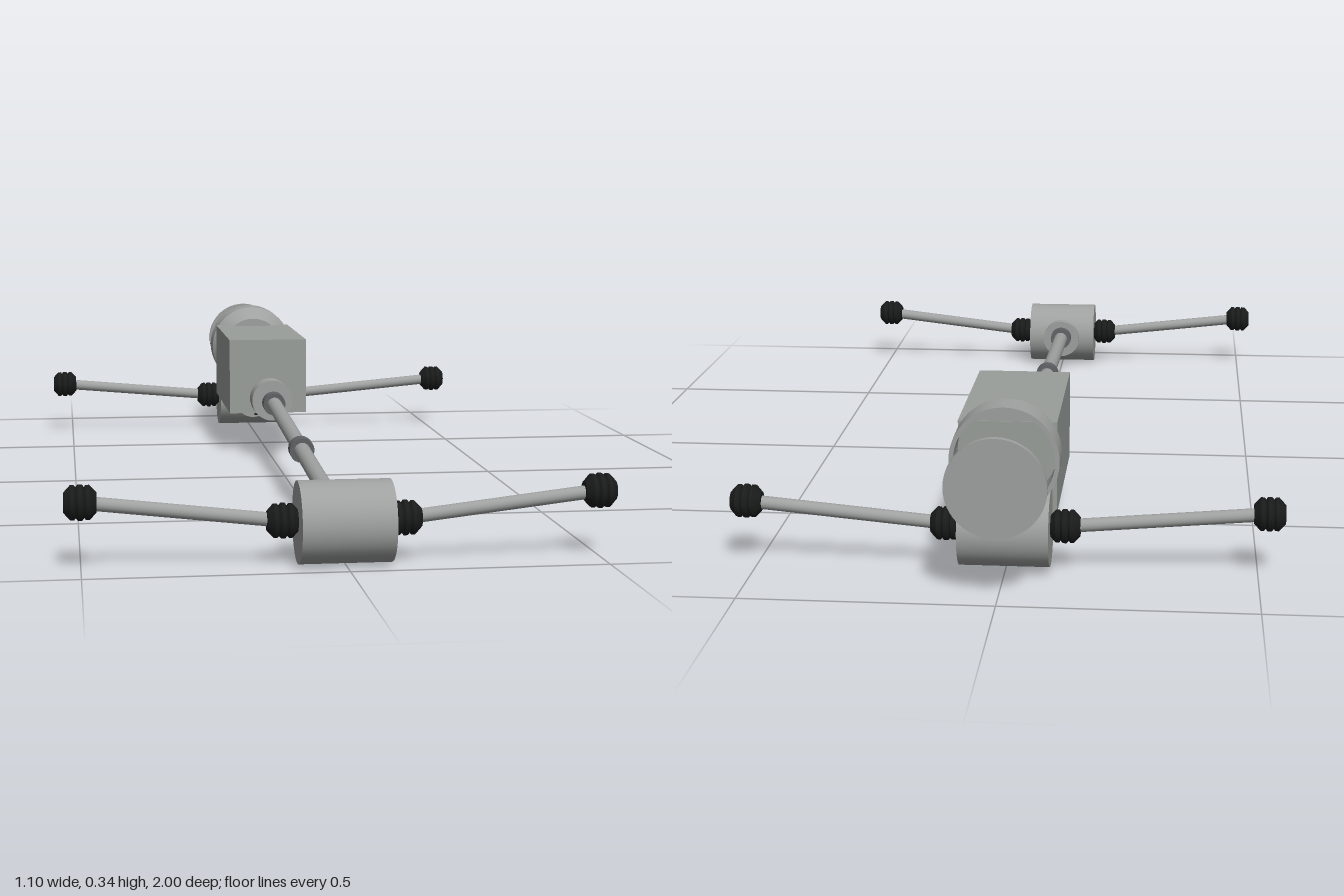
import * as THREE from 'three';
import { toCreasedNormals } from 'three/addons/utils/BufferGeometryUtils.js';

const makeMaterial = (name, color) => {
  const m = new THREE.MeshStandardMaterial({ color });
  m.name = name;
  return m;
};

export function createModel() {
  const root = new THREE.Group();
  root.name = 'drivetrain';
  const metal = makeMaterial('metal grey', 0x9ea19f);
  const casing = makeMaterial('casing grey', 0x999e9b);
  const dark = makeMaterial('dark steel', 0x606365);
  const rubber = makeMaterial('black rubber', 0x1a1b1b);

  const add = (name, geometry, material, parent = root) => {
    const mesh = new THREE.Mesh(geometry, material);
    mesh.name = name;
    parent.add(mesh);
    return mesh;
  };
  const up = new THREE.Vector3(0, 1, 0);
  const v = (x, y, z) => new THREE.Vector3(x, y, z);

  // Cylinder running from point a to point b
  const rod = (name, a, b, r, material, sides = 32, parent = root) => {
    const dir = b.clone().sub(a);
    const mesh = add(name, new THREE.CylinderGeometry(r, r, dir.length(), sides), material, parent);
    mesh.position.copy(a).add(b).multiplyScalar(0.5);
    mesh.quaternion.setFromUnitVectors(up, dir.normalize());
    return mesh;
  };
  // Turned part from [radius, height] pairs, with sharp edges kept
  const turned = (profile, sides) => toCreasedNormals(
    new THREE.LatheGeometry(profile.map(([r, y]) => new THREE.Vector2(r, y)), sides), 0.5);

  // Ribbed rubber boot, lying along its own y axis
  const bootGeometry = turned([
    [0, -0.031], [0.019, -0.031], [0.033, -0.018], [0.033, -0.011], [0.029, -0.008],
    [0.034, -0.004], [0.034, 0.004], [0.029, 0.008], [0.033, 0.011], [0.033, 0.018],
    [0.019, 0.031], [0, 0.031]], 14);

  // Axles: differential drum, neck and a half shaft on each side
  const axle = (name, z, y, radius, reach, neckStart, neckEnd) => {
    const group = new THREE.Group();
    group.name = name;
    root.add(group);
    rod('differentialDrum', v(-0.09, y, z), v(0.09, y, z), radius, metal, 40, group);
    rod('differentialNeck', v(0, y, neckStart), v(0, y, neckEnd), 0.05, metal, 32, group);
    for (const s of [-1, 1]) {
      const inner = v(s * 0.118, y + 0.004, z), outer = v(s * reach, 0.128, z);
      rod('halfShaft', inner, outer, 0.0135, metal, 20, group);
      for (const p of [inner, outer]) {
        const boot = add('jointBoot', bootGeometry, rubber, group);
        boot.position.copy(p);
        boot.rotation.z = Math.PI / 2;
      }
    }
  };
  axle('frontAxle', 0.92, 0.08, 0.08, 0.5, 0.88, 0.83);
  axle('rearAxle', -0.797, 0.088, 0.078, 0.52, -0.76, -0.71);

  // Long propeller shaft with its collars
  const front = v(0, 0.085, 0.84), rear = v(0, 0.146, -0.25);
  rod('propellerShaft', front, rear, 0.018, metal, 24);
  for (const z of [0.815, 0.3, -0.225]) {
    const t = (front.z - z) / (front.z - rear.z);
    const p = front.clone().lerp(rear, t);
    const half = rear.clone().sub(front).setLength(0.015);
    rod('shaftCollar', p.clone().sub(half), p.clone().add(half), 0.028, dark, 20);
  }

  // Coupling between shaft and gearbox
  rod('couplingDrum', v(0, 0.147, -0.258), v(0, 0.147, -0.315), 0.051, metal);
  rod('outputShaft', v(0, 0.147, -0.24), v(0, 0.147, -0.37), 0.015, metal, 20);

  // Gearbox casing
  const box = add('gearboxCasing', new THREE.BoxGeometry(0.198, 0.19, 0.397), casing);
  box.position.set(0, 0.197, -0.5535);

  // Selector ports under the casing
  [0.015, 0.009, 0.009].forEach((drop, i) => {
    const port = add('selectorPort', new THREE.BoxGeometry(0.055, drop, 0.013), rubber);
    port.position.set(0, 0.102 - drop / 2, -0.422 - i * 0.047);
  });

  // Open bell housing behind the casing, with its input shaft
  const bell = add('bellHousing', turned([
    [0, 0], [0.08, 0], [0.109, 0.037], [0.109, 0.105], [0.1, 0.105], [0.1, 0.03], [0, 0.03]], 48), metal);
  bell.rotation.x = -Math.PI / 2;
  bell.position.set(0, 0.232, -0.72);
  rod('inputShaft', v(0, 0.232, -0.74), v(0, 0.232, -0.825), 0.012, metal, 20);

  // Flywheel with two separate clutch plates in front of it
  const flywheel = add('flywheel', turned([
    [0, 0], [0.09, 0], [0.09, 0.007], [0.098, 0.007], [0.098, 0.019], [0, 0.019]], 48), metal);
  flywheel.rotation.x = -Math.PI / 2;
  flywheel.position.set(0, 0.232, -0.981);
  for (const z of [-0.953, -0.968]) {
    rod('clutchPlate', v(0, 0.232, z + 0.004), v(0, 0.232, z - 0.004), 0.085, rubber, 40);
  }

  return root;
}
